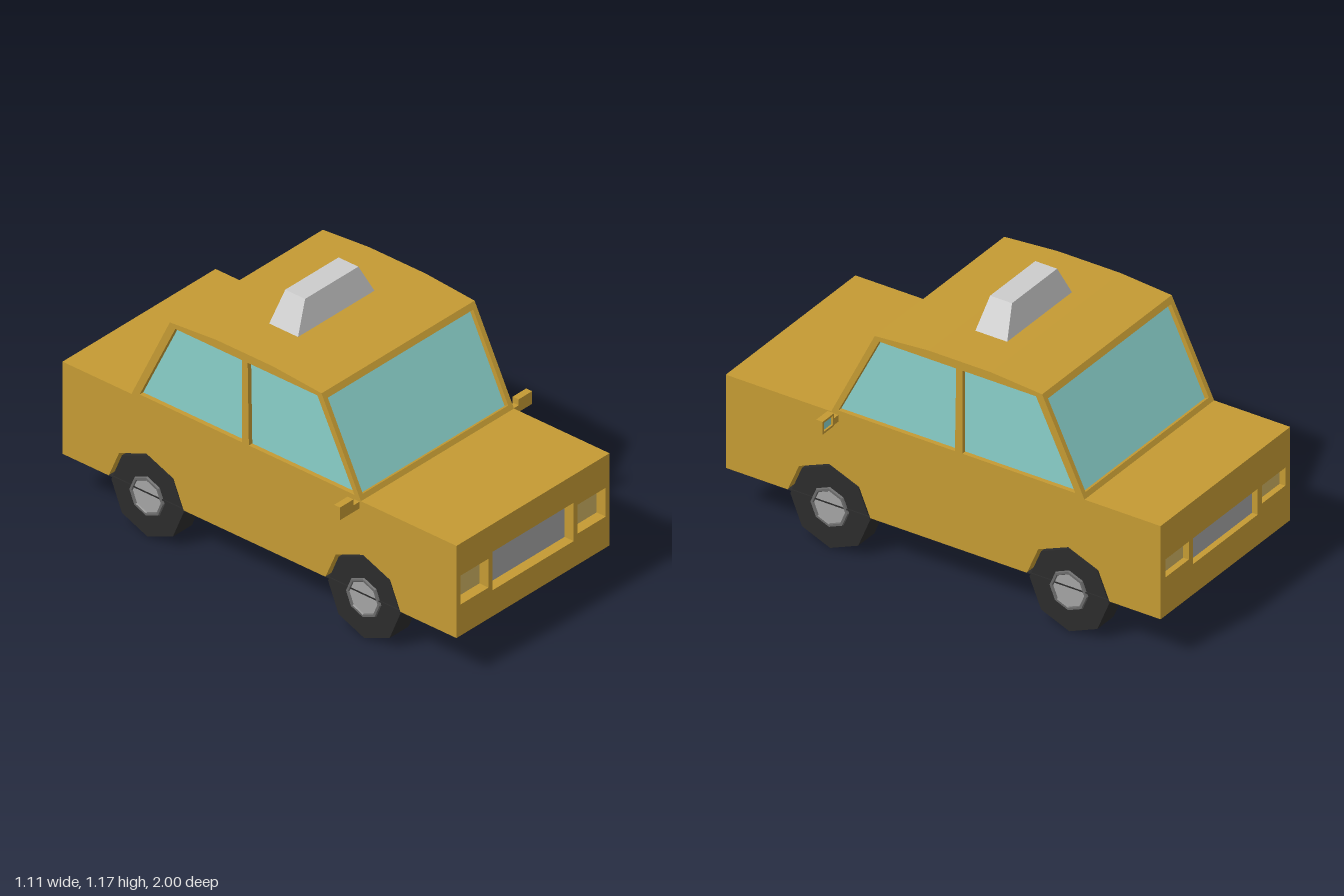
import * as THREE from 'three';

const mat = (color) => new THREE.MeshStandardMaterial({ color, flatShading: true });

export function createModel() {
  const car = new THREE.Group();
  car.name = 'taxi';
  const paint = mat(0xc49a33), glass = mat(0x88cec8), rubber = mat(0x2b2b2b), lamp = mat(0xcdb062);
  const grey = mat(0xa3a3a3), light = mat(0xcccccc), rimGrey = mat(0x6a6a6a);

  const add = (name, geometry, material, x = 0, y = 0, z = 0, parent = car) => {
    const mesh = new THREE.Mesh(geometry, material);
    mesh.name = name;
    mesh.position.set(x, y, z);
    parent.add(mesh);
    return mesh;
  };
  const box = (name, material, [x0, x1], [y0, y1], [z0, z1], parent = car) =>
    add(name, new THREE.BoxGeometry(x1 - x0, y1 - y0, z1 - z0), material,
      (x0 + x1) / 2, (y0 + y1) / 2, (z0 + z1) / 2, parent);
  const shapeOf = (points, holes = []) => {
    const vectors = (list) => list.map(([a, b]) => new THREE.Vector2(a, b));
    const shape = new THREE.Shape(vectors(points));
    holes.forEach((h) => shape.holes.push(new THREE.Path(vectors(h))));
    return shape;
  };
  const extrude = (points, depth, holes) =>
    new THREE.ExtrudeGeometry(shapeOf(points, holes), { depth, bevelEnabled: false });
  const rect = (x0, x1, y0, y1) => [[x0, y0], [x1, y0], [x1, y1], [x0, y1]];
  // Extrudes a (z, y) outline across the car, from x0 to x1
  const across = (name, material, points, x0, x1, holes) =>
    add(name, extrude(points, x1 - x0, holes).rotateY(-Math.PI / 2), material, x1);

  const W = 0.442, floorY = 0.2, beltY = 0.615;
  const wheelZ = [0.525, -0.575], wheelY = 0.183;
  const frontZ = 0.95, rearZ = -0.97;

  // Lower body: core, and side panels with eight-sided wheel arches
  box('bodyCore', paint, [-0.33, 0.33], [floorY, beltY], [rearZ, frontZ]);
  const outline = [[rearZ, beltY], [rearZ, floorY]];
  for (const z of [...wheelZ].reverse()) {
    outline.push([z - 0.19, floorY], [z - 0.138, 0.322], [z, 0.378], [z + 0.138, 0.322], [z + 0.19, floorY]);
  }
  outline.push([frontZ, floorY], [frontZ, beltY]);
  across('leftBodySide', paint, outline, 0.33, W);
  across('rightBodySide', paint, outline, -W, -0.33);
  box('floor', rubber, [-W + 0.001, W - 0.001], [floorY - 0.002, floorY + 0.003], [-0.999, 0.999]);

  // Nose and tail panels with recessed lamps and grille
  const endPanel = (name, z, depth, grille, lampBox) => {
    const [a, b, c, d] = lampBox;
    const holes = [rect(...grille), rect(a, b, c, d), rect(-b, -a, c, d)];
    add(name + 'Panel', extrude(rect(-W, W, floorY, beltY), depth, holes), paint, 0, 0, Math.min(z, z + depth));
    const zIn = z > 0 ? z : z + depth;
    const span = [zIn - 0.004, zIn + 0.004];
    box(name + 'Grille', grey, [grille[0], grille[1]], [grille[2], grille[3]], span);
    box(name + 'LeftLamp', lamp, [a, b], [c, d], span);
    box(name + 'RightLamp', lamp, [-b, -a], [c, d], span);
  };
  endPanel('front', frontZ, 1 - frontZ, [-0.235, 0.235, 0.317, 0.49], [0.257, 0.42, 0.34, 0.47]);
  endPanel('rear', -1, 1 + rearZ, [-0.22, 0.22, 0.335, 0.45], [0.25, 0.408, 0.37, 0.45]);

  // Cabin sides with two windows each
  const roofLine = [[0.315, 1.018], [0.07, 1.037], [-0.22, 1.037], [-0.455, 1.018]];
  const cabin = [[0.515, beltY], ...roofLine, [-0.65, beltY]];
  const windows = [
    [[0.482, 0.63], [0.292, 1.004], [-0.06, 1.004], [-0.054, 0.63]],
    [[-0.088, 0.63], [-0.088, 1.004], [-0.425, 1.004], [-0.608, 0.63]],
  ];
  across('leftCabinSide', paint, cabin, W - 0.022, W, windows);
  across('rightCabinSide', paint, cabin, -W, -W + 0.022, windows);

  // Roof slab with a gently raised middle
  across('roof', paint, [...roofLine, [-0.44, 1.0], [0.3, 1.0]], -W, W);

  // Glass filling the cabin just inside the frames
  across('cabinGlass', glass,
    [[0.492, beltY], [0.3, 1.004], [-0.44, 1.004], [-0.627, beltY]], -W + 0.02, W - 0.02);

  // Sloping windscreen frames, front and back
  const screen = (name, z, run, turn) => {
    const holder = new THREE.Group();
    holder.name = name;
    holder.position.set(0, beltY, z);
    holder.rotation.y = turn;
    const length = Math.hypot(run, 0.403), k = length / 0.403;
    const frame = extrude(rect(-W, W, 0, length), 0.02, [rect(-0.42, 0.42, 0.02 * k, 0.378 * k)]);
    frame.translate(0, 0, -0.02).rotateX(-Math.atan2(run, 0.403));
    add(name + 'Panel', frame, paint, 0, 0, 0, holder);
    car.add(holder);
  };
  screen('windscreenFrame', 0.515, 0.2, 0);
  screen('rearScreenFrame', -0.65, 0.195, Math.PI);

  // Roof sign: a box tapered towards its top
  const sign = new THREE.BoxGeometry(0.446, 0.135, 0.148);
  const p = sign.attributes.position;
  for (let i = 0; i < p.count; i++) {
    if (p.getY(i) > 0) p.setXYZ(i, p.getX(i) * 0.69, p.getY(i), p.getZ(i) * 0.68);
  }
  sign.computeVertexNormals();
  add('roofSign', sign, light, 0, 1.1, -0.072);

  for (const side of [1, -1]) {
    const label = side > 0 ? 'left' : 'right';
    const span = (a, b) => (side > 0 ? [a, b] : [-b, -a]);

    // Door mirror: arm, open-backed shell and glass
    box(label + 'MirrorArm', paint, span(0.43, 0.485), [0.58, 0.61], [0.482, 0.508]);
    box(label + 'MirrorBack', paint, span(0.477, 0.555), [0.58, 0.637], [0.49, 0.508]);
    const [m0, m1] = span(0.477, 0.555);
    add(label + 'MirrorRim', extrude(rect(m0, m1, 0.58, 0.637), 0.012,
      [rect(m0 + 0.009, m1 - 0.009, 0.589, 0.628)]), paint, 0, 0, 0.478);
    box(label + 'MirrorGlass', glass, [m0 + 0.009, m1 - 0.009], [0.589, 0.628], [0.486, 0.492]);

    // Eight-sided wheels, axis turned outwards
    wheelZ.forEach((z, i) => {
      const wheel = new THREE.Group();
      wheel.name = label + (i ? 'RearWheel' : 'FrontWheel');
      wheel.position.set(side * 0.38, wheelY, z);
      wheel.rotation.z = -side * Math.PI / 2;
      add('tyre', new THREE.CylinderGeometry(0.183, 0.183, 0.11, 8), rubber, 0, 0, 0, wheel);
      const rim = [[0.09, 0.05], [0.085, 0.063], [0.075, 0.063], [0.07, 0.056]]
        .map(([r, y]) => new THREE.Vector2(r, y));
      const rimMat = rimGrey.clone();
      rimMat.side = THREE.DoubleSide;
      add('rim', new THREE.LatheGeometry(rim, 8), rimMat, 0, 0, 0, wheel);
      add('hubcap', new THREE.CylinderGeometry(0.073, 0.073, 0.01, 8), grey, 0, 0.053, 0, wheel);
      car.add(wheel);
    });
  }
  return car;
}
